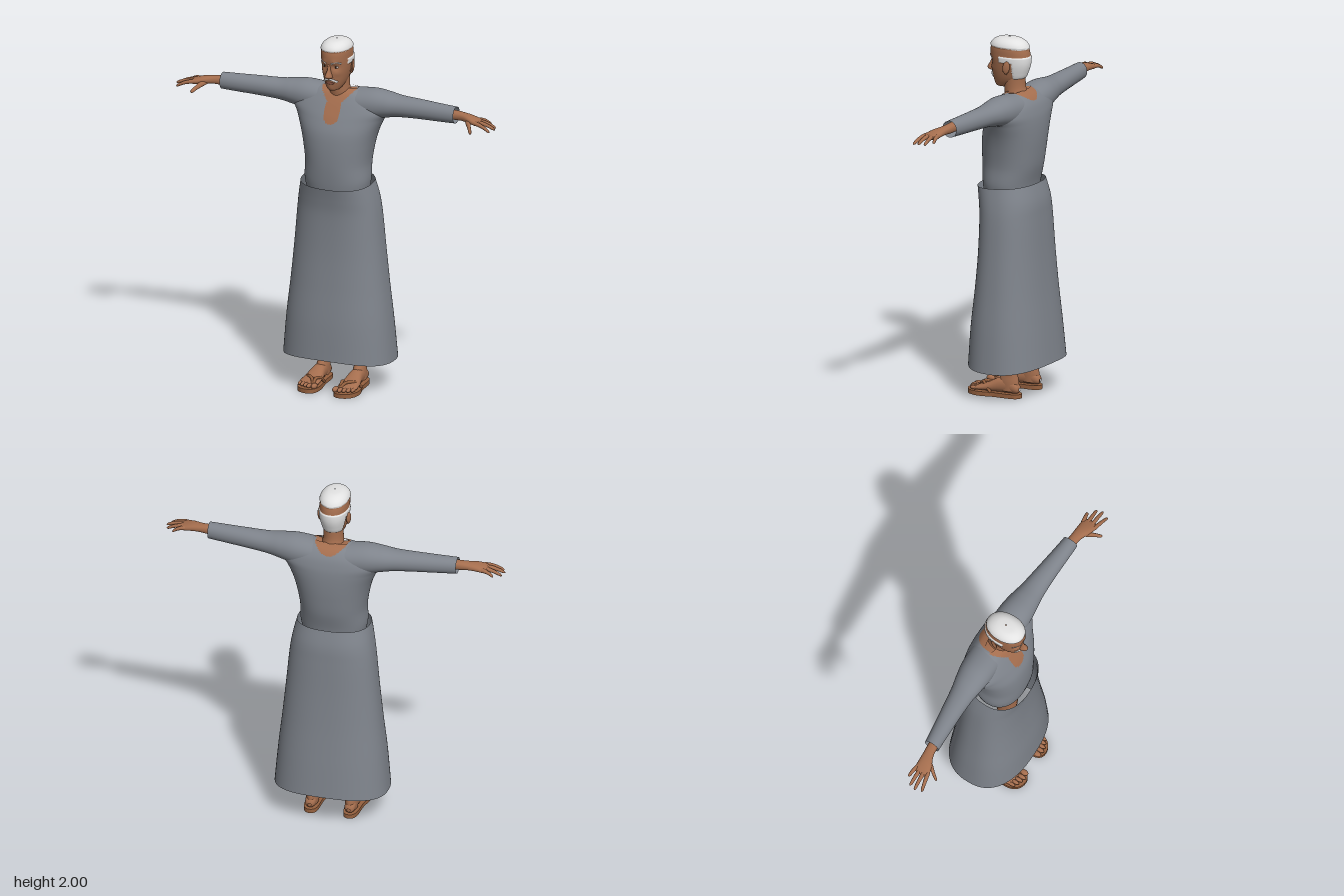
import * as THREE from 'three';
import { mergeVertices } from 'three/addons/utils/BufferGeometryUtils.js';

const mat = (name, color, side = THREE.FrontSide) => {
  const m = new THREE.MeshStandardMaterial({ color, side });
  m.name = name;
  return m;
};

// Smooth interpolation between key sections
function sample(keys, t) {
  const f = t * (keys.length - 1), i = Math.min(Math.floor(f), keys.length - 2), k = f - i;
  const at = (n) => keys[Math.max(0, Math.min(keys.length - 1, n))];
  return keys[i].map((b, c) => {
    const a = at(i - 1)[c], d = at(i + 1)[c], e = at(i + 2)[c];
    return b + 0.5 * k * (d - a + k * (2 * a - 5 * b + 4 * d - e + k * (3 * (b - d) + e - a)));
  });
}

// Loft of superellipse sections. Each key is [position, uMin, uMax, vMin, vMax];
// u,v are x,z along y; z,y along x; y,x along z.
function loft(axis, keys, { rows = 20, cols = 20, n = 2, bend, pick } = {}) {
  const pos = [], pts = [], lists = [[], []];
  const sp = (v) => Math.sign(v) * Math.abs(v) ** (2 / n);
  for (let i = 0; i <= rows; i++) {
    const [s, u0, u1, v0, v1] = sample(keys, i / rows);
    for (let j = 0; j < cols; j++) {
      const a = (j / cols) * Math.PI * 2;
      const u = (u0 + u1) / 2 + ((u1 - u0) / 2) * sp(Math.cos(a));
      const v = (v0 + v1) / 2 + ((v1 - v0) / 2) * sp(Math.sin(a));
      const p = axis === 'y' ? new THREE.Vector3(u, s, v)
        : axis === 'x' ? new THREE.Vector3(s, v, u) : new THREE.Vector3(v, u, s);
      if (bend) bend(p, i / rows);
      pts.push(p);
      pos.push(p.x, p.y, p.z);
    }
  }
  for (let i = 0; i < rows; i++) for (let j = 0; j < cols; j++) {
    const a = i * cols + j, b = i * cols + ((j + 1) % cols), c = a + cols, d = b + cols;
    for (const t of [[a, c, b], [b, c, d]]) {
      const mid = t.reduce((m, k) => m.addScaledVector(pts[k], 1 / 3), new THREE.Vector3());
      lists[pick && pick(mid) ? 1 : 0].push(...t);
    }
  }
  const g = new THREE.BufferGeometry();
  g.setAttribute('position', new THREE.Float32BufferAttribute(pos, 3));
  g.setIndex([...lists[0], ...lists[1]]);
  if (pick) {
    g.addGroup(0, lists[0].length, 0);
    g.addGroup(lists[0].length, lists[1].length, 1);
  }
  g.computeVertexNormals();
  return g;
}

function mirrored(geo) {
  const g = geo.index ? geo.clone() : mergeVertices(geo);
  g.scale(-1, 1, 1);
  const ix = g.index;
  for (let i = 0; i < ix.count; i += 3) {
    const b = ix.getX(i + 1);
    ix.setX(i + 1, ix.getX(i + 2));
    ix.setX(i + 2, b);
  }
  return g;
}

const tube = (pts, r) => new THREE.TubeGeometry(
  new THREE.CatmullRomCurve3(pts.map((p) => new THREE.Vector3(...p))), 16, r, 8);
const blob = (x, y, z, rx, ry, rz) => new THREE.SphereGeometry(1, 20, 14).scale(rx, ry, rz).translate(x, y, z);

export function createModel() {
  const root = new THREE.Group();
  const cloth = mat('grey cloth', 0x7f848c, THREE.DoubleSide);
  const skin = mat('skin', 0xa56e4e);
  const hair = mat('white hair', 0xe2e2e2);
  const leather = mat('sandal leather', 0x96613f);
  const eyeWhite = mat('eye white', 0xd8d0c8);
  const dark = mat('dark iris', 0x2c1d16);
  const lip = mat('lips', 0x8a5342);

  const add = (name, geo, m) => {
    const mesh = new THREE.Mesh(geo, m);
    mesh.name = name;
    root.add(mesh);
  };
  const pair = (name, geo, m) => {
    add('left ' + name, geo, m);
    add('right ' + name, mirrored(geo), m);
  };

  // Skirt: open tube with a slightly curved waist and hem
  add('skirt', loft('y', [
    [0.175, -0.317, 0.317, -0.23, 0.222], [0.4, -0.298, 0.298, -0.21, 0.21],
    [0.6, -0.276, 0.276, -0.19, 0.19], [0.8, -0.256, 0.256, -0.175, 0.175],
    [1.0, -0.237, 0.237, -0.165, 0.172], [1.1, -0.222, 0.222, -0.158, 0.182],
    [1.19, -0.202, 0.202, -0.135, 0.197],
  ], { rows: 40, cols: 72, n: 2.4, bend: (p, t) => {
    if (t < 0.2) p.y += 0.024 * (1 - (p.x / 0.317) ** 2) * (1 - t / 0.2);
    if (t > 0.8) p.y -= 0.08 * p.z * (t - 0.8) / 0.2;
  } }), cloth);

  // Neck opening: round collar plus a U-shaped slit at the front
  const inNeck = (p) => {
    if (p.y > 1.6 && (p.x / 0.092) ** 2 + ((p.z + 0.015) / 0.1) ** 2 < 1) return true;
    if (p.z < 0 || p.y < 1.53) return false;
    const w = p.y < 1.575 ? 0.046 * Math.sqrt(1 - ((1.575 - p.y) / 0.045) ** 2)
      : p.y < 1.64 ? 0.046 - 0.1 * (p.y - 1.575) : 0.04 + 0.9 * (p.y - 1.64);
    return Math.abs(p.x) < w;
  };
  add('shirt body', loft('y', [
    [1.12, -0.17, 0.17, -0.1, 0.16], [1.2, -0.185, 0.185, -0.112, 0.17],
    [1.3, -0.184, 0.184, -0.135, 0.175], [1.4, -0.2, 0.2, -0.146, 0.172],
    [1.48, -0.222, 0.222, -0.15, 0.16], [1.55, -0.252, 0.252, -0.148, 0.133],
    [1.6, -0.28, 0.28, -0.14, 0.108], [1.65, -0.26, 0.26, -0.122, 0.08],
    [1.69, -0.19, 0.19, -0.09, 0.052], [1.71, -0.1, 0.1, -0.05, 0.02],
  ], { rows: 110, cols: 144, n: 2.25, pick: inNeck }), [cloth, skin]);

  // Shoulders and sleeves in one span
  const half = [
    [0.7, -0.032, 0.054, 1.6, 1.692], [0.6, -0.045, 0.052, 1.595, 1.694],
    [0.48, -0.062, 0.05, 1.59, 1.697], [0.36, -0.08, 0.053, 1.582, 1.7],
    [0.28, -0.098, 0.062, 1.568, 1.71], [0.2, -0.112, 0.07, 1.55, 1.717], [0.1, -0.118, 0.072, 1.54, 1.708],
  ];
  add('shirt shoulders and sleeves', loft('x', [
    ...half.map(([s, ...r]) => [-s, ...r]), [0, -0.118, 0.07, 1.54, 1.695], ...half.reverse(),
  ], { rows: 140, cols: 64, n: 2.1, pick: inNeck }), [cloth, skin]);

  // Hands
  pair('palm', loft('x', [
    [0.6, -0.016, 0.042, 1.622, 1.678], [0.7, -0.012, 0.044, 1.622, 1.674],
    [0.75, -0.008, 0.052, 1.625, 1.67], [0.8, -0.006, 0.074, 1.622, 1.664],
    [0.85, -0.002, 0.086, 1.618, 1.65], [0.868, 0.02, 0.065, 1.625, 1.642],
  ], { n: 2.3 }), skin);
  for (const [name, z0, z1, x1, y1] of [['little finger', 0.006, -0.008, 0.905, 1.615],
    ['ring finger', 0.029, 0.026, 0.945, 1.61], ['middle finger', 0.053, 0.06, 0.955, 1.612],
    ['index finger', 0.075, 0.098, 0.94, 1.605]]) {
    const keys = [0, 0.3, 0.6, 0.9, 1].map((t, i) => {
      const r = [0.012, 0.0115, 0.01, 0.008, 0.001][i], z = z0 + (z1 - z0) * t;
      const y = 1.638 + (y1 - 1.638) * t + 0.008 * Math.sin(Math.PI * t);
      return [0.835 + (x1 - 0.835) * t, z - r, z + r, y - r, y + r];
    });
    pair(name, loft('x', keys, { rows: 14, cols: 12 }), skin);
  }
  pair('thumb', loft('z', [
    [0.03, 1.628, 1.658, 0.755, 0.795], [0.07, 1.615, 1.645, 0.782, 0.812],
    [0.1, 1.6, 1.623, 0.808, 0.83], [0.122, 1.588, 1.606, 0.824, 0.842], [0.13, 1.593, 1.595, 0.836, 0.838],
  ], { cols: 12 }), skin);

  // Legs and feet
  pair('leg', loft('y', [
    [0.04, 0.078, 0.143, -0.078, 0.04], [0.09, 0.076, 0.143, -0.076, 0.045],
    [0.14, 0.08, 0.137, -0.068, 0.02], [0.2, 0.077, 0.139, -0.068, 0.016],
    [0.4, 0.06, 0.16, -0.085, 0.035], [0.6, 0.055, 0.165, -0.08, 0.05], [0.9, 0.03, 0.18, -0.09, 0.09],
  ], { rows: 30 }), skin);
  pair('foot', loft('z', [
    [-0.084, 0.045, 0.06, 0.1, 0.12], [-0.07, 0.03, 0.085, 0.084, 0.138],
    [-0.02, 0.026, 0.11, 0.078, 0.143], [0.04, 0.026, 0.108, 0.072, 0.15],
    [0.1, 0.026, 0.078, 0.062, 0.164], [0.16, 0.028, 0.056, 0.056, 0.17], [0.185, 0.035, 0.045, 0.07, 0.155],
  ], { n: 2.2 }), skin);
  [[0.064, 0.2, 0.016], [0.092, 0.203, 0.012], [0.115, 0.197, 0.011], [0.137, 0.188, 0.011], [0.158, 0.176, 0.01]]
    .forEach(([x, z, r], i) => pair('toe ' + (i + 1), blob(x, 0.04, z, r, r, 0.026), skin));

  // Sandals: outlined sole, two straps from the toe post
  const sole = new THREE.Shape();
  sole.moveTo(0.11, -0.092);
  sole.bezierCurveTo(0.17, -0.092, 0.145, 0.02, 0.165, 0.08);
  sole.bezierCurveTo(0.195, 0.16, 0.17, 0.236, 0.1, 0.236);
  sole.bezierCurveTo(0.035, 0.236, 0.045, 0.15, 0.06, 0.08);
  sole.bezierCurveTo(0.08, 0.02, 0.05, -0.092, 0.11, -0.092);
  const soleGeo = new THREE.ExtrudeGeometry(sole, { depth: 0.024, bevelEnabled: false, curveSegments: 14 });
  pair('sandal sole', soleGeo.rotateX(Math.PI / 2).scale(1, 1, 1).translate(0, 0.028, 0), leather);
  pair('inner strap', tube([[0.08, 0.035, 0.185], [0.078, 0.066, 0.15], [0.068, 0.06, 0.11], [0.066, 0.026, 0.07]], 0.009), leather);
  pair('outer strap', tube([[0.08, 0.035, 0.185], [0.1, 0.066, 0.152], [0.145, 0.062, 0.11], [0.16, 0.026, 0.07]], 0.009), leather);

  // Neck and head, with raised hair on the crown and around the back
  add('neck', loft('y', [
    [1.55, -0.08, 0.08, -0.1, 0.05], [1.66, -0.066, 0.066, -0.08, 0.062],
    [1.72, -0.056, 0.056, -0.052, 0.07], [1.8, -0.055, 0.055, -0.05, 0.07],
  ], { cols: 32 }), skin);
  const isHair = (p) => p.y > 1.948 - 0.1 * Math.max(0, -p.z)
    || (p.y < 1.9 && p.z < 0.07 && p.y > 1.868) || (p.y < 1.9 && p.z < -0.008 && p.y > 1.775);
  const bump = (p, x, y, w, d) => {
    if (p.z > 0.06) p.z += d * Math.exp(-(((Math.abs(p.x) - x) ** 2 + (p.y - y) ** 2) / (w * w)));
  };
  add('head', loft('y', [
    [1.716, -0.004, 0.004, 0.09, 0.1], [1.722, -0.03, 0.03, 0.04, 0.12], [1.742, -0.046, 0.046, 0, 0.13],
    [1.775, -0.06, 0.06, -0.045, 0.14], [1.815, -0.07, 0.07, -0.064, 0.145], [1.86, -0.077, 0.077, -0.076, 0.148],
    [1.905, -0.079, 0.079, -0.077, 0.154], [1.945, -0.078, 0.078, -0.066, 0.15], [1.972, -0.066, 0.066, -0.046, 0.134],
    [1.99, -0.04, 0.04, -0.01, 0.1], [1.995, -0.003, 0.003, 0.04, 0.046],
  ], { rows: 100, cols: 110, n: 2.15, pick: isHair, bend: (p) => {
    bump(p, 0.033, 1.862, 0.016, -0.009);
    bump(p, 0.03, 1.888, 0.014, 0.004);
    bump(p, 0.045, 1.825, 0.018, 0.004);
    bump(p, 0, 1.735, 0.018, 0.004);
    if (isHair(p)) {
      p.x *= 1.06;
      p.z = 0.037 + (p.z - 0.037) * 1.05;
      p.y += p.y > 1.93 ? 0.005 : 0;
    }
  } }), [skin, hair]);

  // Facial features
  add('nose', loft('y', [
    [1.797, -0.006, 0.006, 0.13, 0.15], [1.803, -0.02, 0.02, 0.12, 0.172], [1.815, -0.019, 0.019, 0.12, 0.182],
    [1.84, -0.011, 0.011, 0.12, 0.167], [1.87, -0.009, 0.009, 0.12, 0.154], [1.89, -0.008, 0.008, 0.12, 0.148],
  ]), skin);
  pair('eyeball', blob(0.033, 1.861, 0.122, 0.014, 0.008, 0.012), eyeWhite);
  pair('iris', blob(0.033, 1.861, 0.131, 0.006, 0.0065, 0.0045), dark);
  pair('eyebrow', tube([[0.014, 1.882, 0.151], [0.035, 1.891, 0.143], [0.058, 1.881, 0.116]], 0.004), hair);
  pair('moustache', tube([[0, 1.792, 0.147], [0.018, 1.788, 0.142], [0.038, 1.774, 0.122]], 0.006), hair);
  add('lips', blob(0, 1.768, 0.134, 0.024, 0.008, 0.01), lip);
  pair('ear', blob(0, 0, 0, 0.009, 0.036, 0.02).rotateY(0.35).rotateX(-0.15).translate(0.083, 1.845, 0.018), skin);
  pair('ear lobe', blob(0.078, 1.815, 0.024, 0.007, 0.012, 0.01), skin);

  return root;
}
